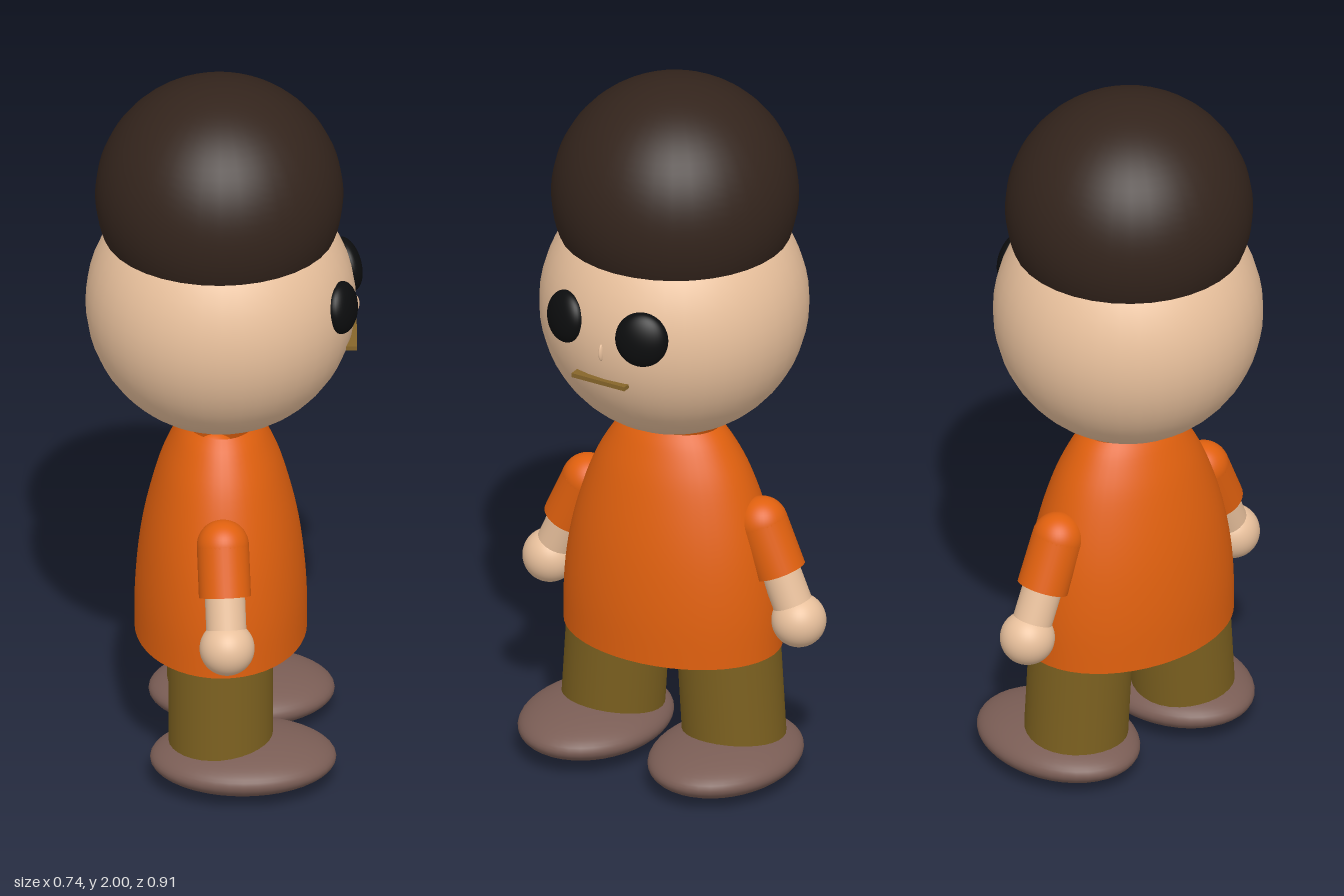
import * as THREE from 'three';

const mat = (color) => new THREE.MeshStandardMaterial({ color, side: THREE.DoubleSide });

export function createModel() {
  const root = new THREE.Group();
  const skin = mat(0xe8c09c), orange = mat(0xe0600e), hairMat = mat(0x33241c);
  const pants = mat(0x7a5f1f), shoeMat = mat(0x7a5d55), black = mat(0x0c0d0e), gold = mat(0x86652a);

  const add = (name, geo, material, pos = [0, 0, 0], scale = [1, 1, 1]) => {
    const m = new THREE.Mesh(geo, material);
    m.name = name;
    m.position.set(...pos);
    m.scale.set(...scale);
    root.add(m);
    return m;
  };
  const ball = (name, material, pos, scale) =>
    add(name, new THREE.SphereGeometry(1, 40, 28), material, pos, scale);
  // Cylinder running between two points
  const limb = (name, material, from, to, r) => {
    const a = new THREE.Vector3(...from), b = new THREE.Vector3(...to);
    const m = add(name, new THREE.CylinderGeometry(r, r, a.distanceTo(b), 32), material);
    m.position.copy(a).add(b).multiplyScalar(0.5);
    m.quaternion.setFromUnitVectors(new THREE.Vector3(0, 1, 0), b.clone().sub(a).normalize());
    return m;
  };

  // Head
  ball('head', skin, [-0.008, 1.353, -0.003], [0.363, 0.363, 0.363]);

  // Hair: sphere cut flat at the brow line, with a flat underside
  const cut = Math.acos(-0.354);
  add('hair', new THREE.SphereGeometry(1, 36, 24, 0, Math.PI * 2, 0, cut), hairMat,
    [-0.012, 1.675, -0.003], [0.333, 0.325, 0.333]);
  const brow = add('hairUnderside', new THREE.CircleGeometry(0.311, 36), hairMat, [-0.012, 1.56, -0.003]);
  brow.rotation.x = Math.PI / 2;

  // Shirt: oval dome, closed at the hem
  const profile = [[0.315, 0.37], [0.314, 0.48], [0.305, 0.58], [0.287, 0.68], [0.258, 0.78],
    [0.218, 0.88], [0.17, 0.96], [0.135, 1.0]].map(([x, y]) => new THREE.Vector2(x, y));
  const curve = new THREE.SplineCurve(profile);
  add('shirt', new THREE.LatheGeometry(curve.getPoints(28), 48), orange, [-0.008, 0, 0], [0.735, 1, 1]);
  const hem = add('shirtHem', new THREE.CircleGeometry(0.315, 48), orange, [-0.008, 0.37, 0], [0.735, 1, 1]);
  hem.rotation.x = Math.PI / 2;

  // Arms, legs and shoes; the +z side is s = 1
  for (const s of [1, -1]) {
    const side = s > 0 ? 'Right' : 'Left';
    const shoulder = [s > 0 ? -0.005 : -0.025, 0.75, s * 0.268];
    const hand = s > 0 ? [0.005, 0.497, 0.38] : [-0.03, 0.483, -0.381];
    const cuff = shoulder.map((v, i) => v + (hand[i] - v) * 0.5);
    ball('shoulder' + side, orange, shoulder, [0.07, 0.07, 0.07]);
    limb('sleeve' + side, orange, shoulder, cuff, 0.07);
    limb('forearm' + side, skin, cuff, hand, 0.054);
    ball('hand' + side, skin, hand, [0.074, 0.074, 0.074]);

    limb('leg' + side, pants, [-0.01, 0.45, s * 0.168], [-0.01, 0.08, s * 0.192], 0.14);
    ball('shoe' + side, shoeMat, [0.05, s > 0 ? 0.078 : 0.07, s > 0 ? 0.208 : -0.2], [0.25, 0.068, 0.193]);
  }

  // Eyes: flattened discs lying on the face
  const eye = (name, z, r, x) => {
    const e = ball(name, black, [x, 1.403, z], [0.037, r + 0.003, r]);
    e.rotation.set(0, -Math.asin(z / 0.363), 0.14);
  };
  eye('eyeRight', 0.14, 0.069, 0.315);
  eye('eyeLeft', -0.108, 0.073, 0.331);

  // Nose and mouth
  ball('nose', skin, [0.352, 1.344, 0.006], [0.012, 0.025, 0.006]);
  add('mouth', new THREE.BoxGeometry(0.03, 0.012, 0.166), gold, [0.342, 1.255, 0.014]);

  return root;
}
